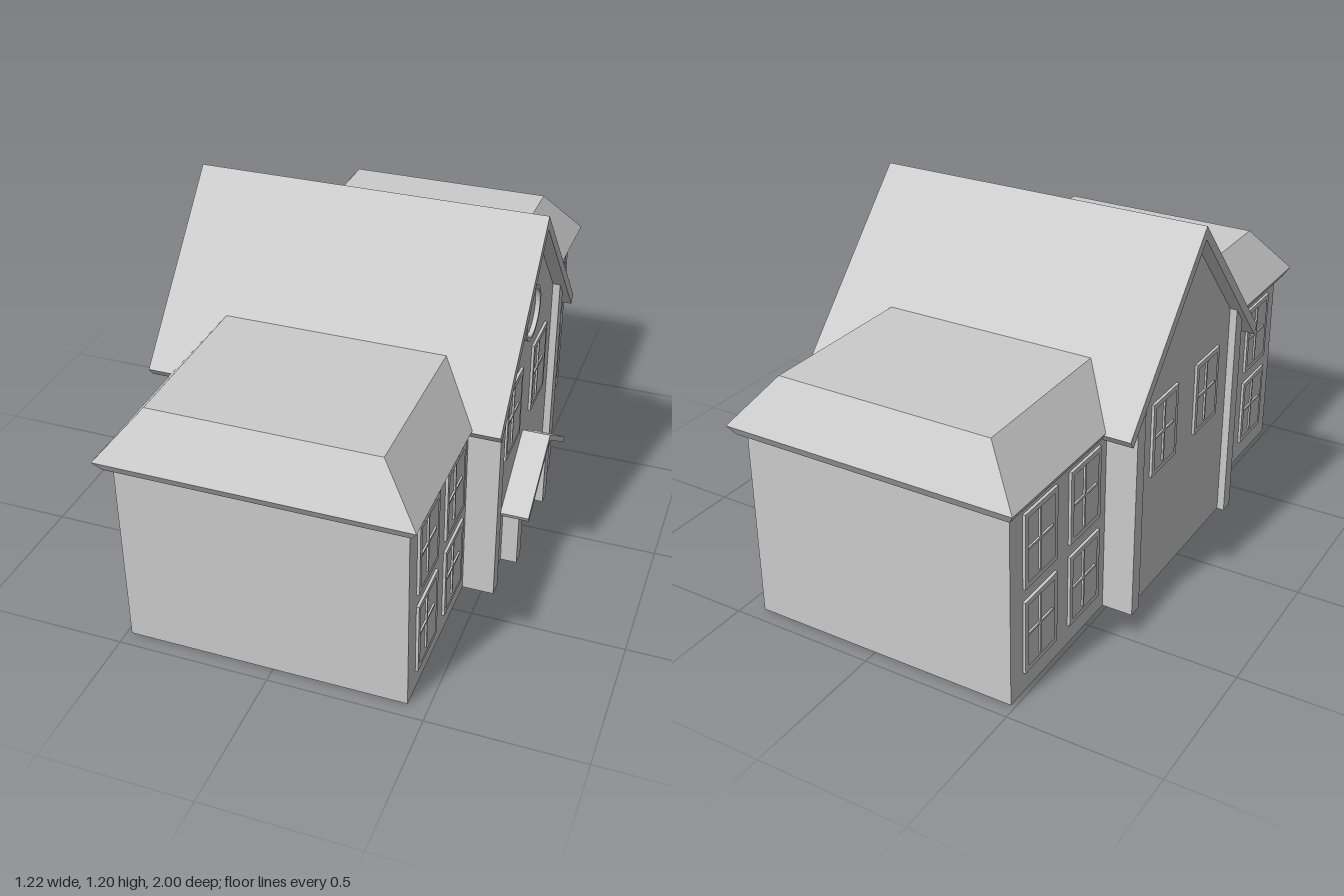
import * as THREE from 'three';

export function createModel() {
  const house = new THREE.Group();
  house.name = 'house';
  const grey = new THREE.MeshStandardMaterial({ color: 0xcccccc });
  grey.name = 'lightGrey';

  const add = (name, geometry, parent = house) => {
    const mesh = new THREE.Mesh(geometry, grey);
    mesh.name = name;
    parent.add(mesh);
    return mesh;
  };

  // Box given by its limits on each axis
  const box = (name, x0, x1, y0, y1, z0, z1, parent) => {
    const g = new THREE.BoxGeometry(x1 - x0, y1 - y0, z1 - z0);
    g.translate((x0 + x1) / 2, (y0 + y1) / 2, (z0 + z1) / 2);
    return add(name, g, parent);
  };

  // Side-elevation outline of [z, y] points, extruded from x0 to x1
  const outline = (pts) => pts.map(([z, y]) => new THREE.Vector2(-z, y));
  const slab = (name, shape, x0, x1, parent) => {
    const g = new THREE.ExtrudeGeometry(shape, { depth: x1 - x0, bevelEnabled: false, curveSegments: 16 });
    g.rotateY(Math.PI / 2).translate(x0, 0, 0);
    return add(name, g, parent);
  };
  const rect = (z0, z1, y0, y1) => outline([[z0, y0], [z1, y0], [z1, y1], [z0, y1]]);

  // Long wing block
  box('wingWalls', -0.485, 0.435, 0, 0.65, -0.95, 0.95);

  // Hipped wing roof with a flat top, built from rectangular rings
  const rings = [
    [-0.505, 0.45, 0.98, 0.65],
    [-0.525, 0.47, 1.0, 0.683],
    [-0.395, 0.34, 0.895, 0.838],
  ].map(([x0, x1, z, y]) => [[x0, y, z], [x1, y, z], [x1, y, -z], [x0, y, -z]]);
  const pos = [];
  const quad = (a, b, c, d) => pos.push(...a, ...b, ...c, ...a, ...c, ...d);
  for (let r = 0; r < 2; r++) {
    for (let i = 0; i < 4; i++) {
      const j = (i + 1) % 4;
      quad(rings[r][i], rings[r][j], rings[r + 1][j], rings[r + 1][i]);
    }
  }
  quad(...rings[2]);
  quad(...[...rings[0]].reverse());
  const hip = new THREE.BufferGeometry();
  hip.setAttribute('position', new THREE.Float32BufferAttribute(pos, 3));
  hip.computeVertexNormals();
  add('wingRoof', hip);

  // Central gabled hall
  const under = (z) => 1.152 - 1.09 * Math.abs(z);
  slab('hallWalls', new THREE.Shape(outline([
    [-0.385, 0], [0.385, 0], [0.385, under(0.385)], [0, under(0)], [-0.385, under(0.385)],
  ])), -0.565, 0.515);
  slab('hallRoof', new THREE.Shape(outline([
    [0, 1.195], [0.475, 0.677], [0.455, 0.65], [0, 1.15], [-0.455, 0.65], [-0.475, 0.677],
  ])), -0.61, 0.56);

  // Corner pilasters on both gable ends
  for (const s of [-1, 1]) {
    for (const [x0, x1] of [[0.51, 0.54], [-0.59, -0.56]]) {
      slab('pilaster', new THREE.Shape(outline([
        [s * 0.335, 0], [s * 0.385, 0], [s * 0.385, under(0.385)], [s * 0.335, under(0.335)],
      ])), x0, x1);
    }
  }

  // Window: frame with an opening and a thinner cross of glazing bars
  const makeWindow = (wallX, side, zc, yc, w, h) => {
    const win = new THREE.Group();
    win.name = 'window';
    house.add(win);
    const span = (d) => (side > 0 ? [wallX - 0.002, wallX + d] : [wallX - d, wallX + 0.002]);
    const hw = w / 2, hh = h / 2, t = 0.018, b = 0.004;
    const frame = new THREE.Shape(rect(zc - hw, zc + hw, yc - hh, yc + hh));
    frame.holes.push(new THREE.Path(rect(zc - hw + t, zc + hw - t, yc - hh + t, yc + hh - t)));
    slab('windowFrame', frame, ...span(0.009), win);
    box('glazingBar', ...span(0.006), yc - hh + t, yc + hh - t, zc - b, zc + b, win);
    box('glazingBar', ...span(0.006), yc - b, yc + b, zc - hw + t, zc + hw - t, win);
  };
  for (const side of [-1, 1]) {
    for (const s of [-1, 1]) {
      for (const z of [0.788, 0.525]) {
        for (const y of [0.195, 0.49]) makeWindow(side > 0 ? 0.435 : -0.485, side, s * z, y, 0.185, 0.25);
      }
      makeWindow(side > 0 ? 0.515 : -0.565, side, s * 0.157, 0.558, 0.175, 0.255);
    }
  }

  // Round gable window ring
  const ring = new THREE.Shape().absarc(0, 0.85, 0.093, 0, Math.PI * 2);
  ring.holes.push(new THREE.Path().absarc(0, 0.85, 0.08, 0, Math.PI * 2, true));
  slab('roundWindow', ring, 0.513, 0.53);

  // Entrance: surround, double doors, posts and small gabled porch roof
  const porch = new THREE.Group();
  porch.name = 'porch';
  house.add(porch);
  slab('doorSurround', new THREE.Shape(outline([
    [-0.155, 0], [-0.115, 0], [-0.115, 0.27], [0.115, 0.27], [0.115, 0],
    [0.155, 0], [0.155, 0.265], [0, 0.365], [-0.155, 0.265],
  ])), 0.51, 0.54, porch);
  for (const s of [-1, 1]) {
    const [a, b] = s > 0 ? [0.003, 0.108] : [-0.108, -0.003];
    box('door', 0.51, 0.522, 0, 0.263, a, b, porch);
    slab('porchPost', new THREE.Shape(outline([
      [s * 0.155, 0], [s * 0.205, 0], [s * 0.205, 0.233], [s * 0.155, 0.266],
    ])), 0.51, 0.57, porch);
  }
  const porchRoof = slab('porchRoof', new THREE.Shape(outline([
    [0, 0.39], [0.253, 0.222], [0.244, 0.205], [0, 0.367], [-0.244, 0.205], [-0.253, 0.222],
  ])), 0.51, 0.61, porch);
  porchRoof.position.z = -0.01;

  return house;
}
